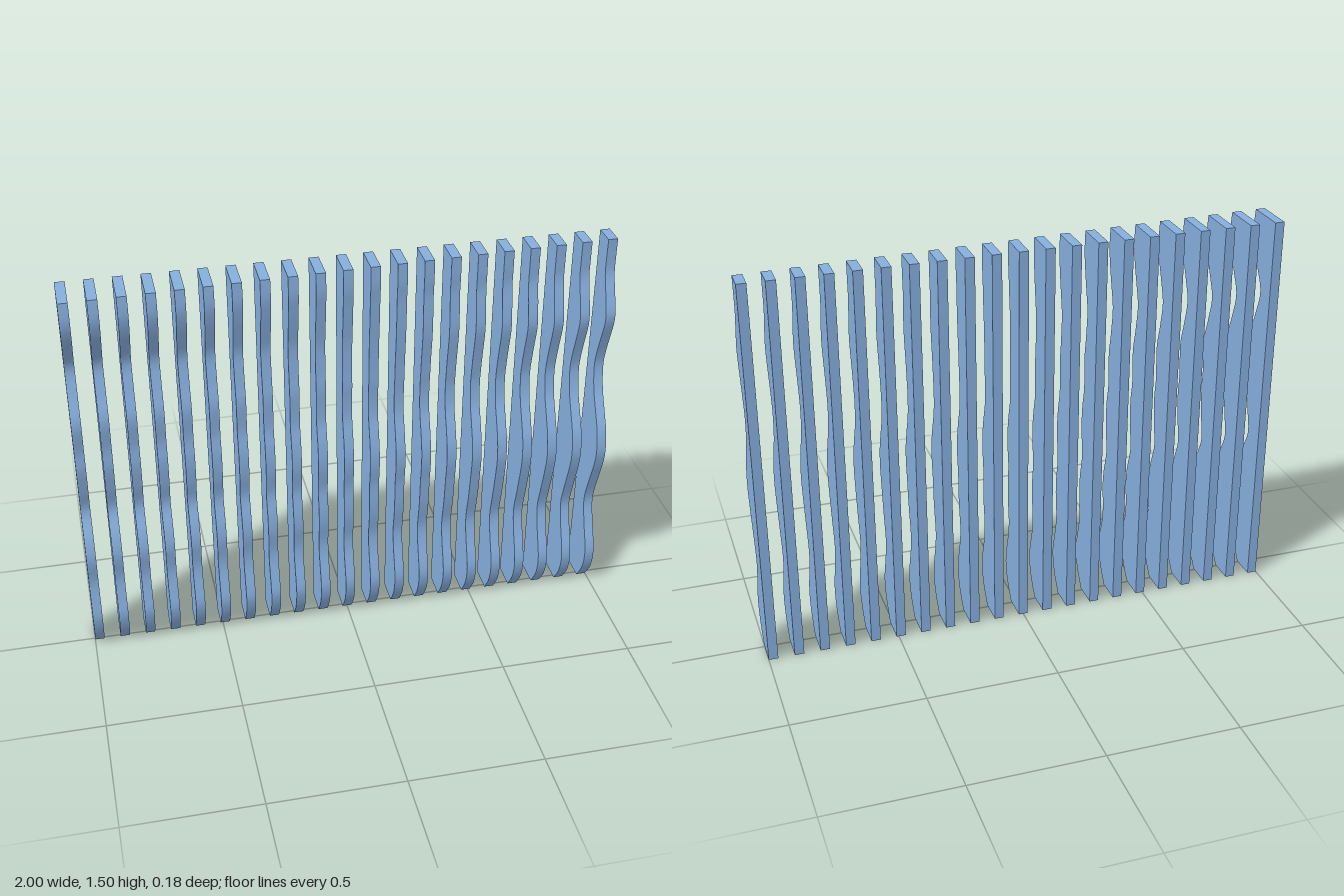
import * as THREE from 'three';
import { toCreasedNormals } from 'three/addons/utils/BufferGeometryUtils.js';

const COUNT = 21, WIDTH = 0.036, HEIGHT = 1.5, BACK = -0.09, STEPS = 72;

// Wavy front edges of the two end slats as [height, depth]
const rightEnd = [[0, 0.008], [0.07, 0.055], [0.15, 0.077], [0.22, 0.066], [0.31, 0.053], [0.42, 0.067],
  [0.5, 0.047], [0.6, 0], [0.7, 0.02], [0.8, 0.038], [0.88, 0.037], [1, 0.05], [1.1, 0.015],
  [1.2, -0.013], [1.28, 0.022], [1.35, 0.06], [1.42, 0.08], [1.5, 0.073]];
const leftEnd = [[0, 0.015], [0.07, 0.062], [0.14, 0.08], [0.2, 0.07], [0.29, 0.035], [0.38, 0.015],
  [0.5, 0.05], [0.58, 0.078], [0.65, 0.09], [0.73, 0.075], [0.8, 0.04], [0.88, 0], [0.97, -0.018],
  [1.04, -0.005], [1.1, 0.015], [1.2, 0.045], [1.28, 0.026], [1.36, -0.002], [1.43, -0.005], [1.5, -0.003]];

// Depths of an edge at evenly spaced heights, read off a smooth curve
function sampleEdge(points) {
  const fine = new THREE.SplineCurve(points.map(([y, z]) => new THREE.Vector2(z, y))).getPoints(600);
  const depths = [];
  for (let i = 0, k = 0; i <= STEPS; i++) {
    const y = (HEIGHT * i) / STEPS;
    while (k < fine.length - 2 && fine[k + 1].y < y) k++;
    const a = fine[k], b = fine[k + 1];
    depths.push(THREE.MathUtils.mapLinear(y, a.y, b.y, a.x, b.x));
  }
  return depths;
}

// Slat outline (depth, height) extruded across its width
function slatGeometry(depths) {
  const shape = new THREE.Shape([
    new THREE.Vector2(BACK, 0),
    ...depths.map((z, i) => new THREE.Vector2(z, (HEIGHT * i) / STEPS)),
    new THREE.Vector2(BACK, HEIGHT),
  ]);
  const geometry = new THREE.ExtrudeGeometry(shape, { depth: WIDTH, bevelEnabled: false });
  geometry.translate(0, 0, -WIDTH / 2).rotateY(-Math.PI / 2);
  return toCreasedNormals(geometry, 0.5);
}

export function createModel() {
  const group = new THREE.Group();
  group.name = 'wavySlatWall';
  const material = new THREE.MeshStandardMaterial({ color: 0x86aedd });
  const from = sampleEdge(rightEnd), to = sampleEdge(leftEnd);

  // Row of slats whose front edges blend from one end profile to the other
  for (let i = 0; i < COUNT; i++) {
    const t = i / (COUNT - 1);
    const slat = new THREE.Mesh(slatGeometry(from.map((z, k) => THREE.MathUtils.lerp(z, to[k], t))), material);
    slat.name = `slat${i + 1}`;
    slat.position.x = (2 * t - 1) * (1 - WIDTH / 2);
    group.add(slat);
  }
  return group;
}
